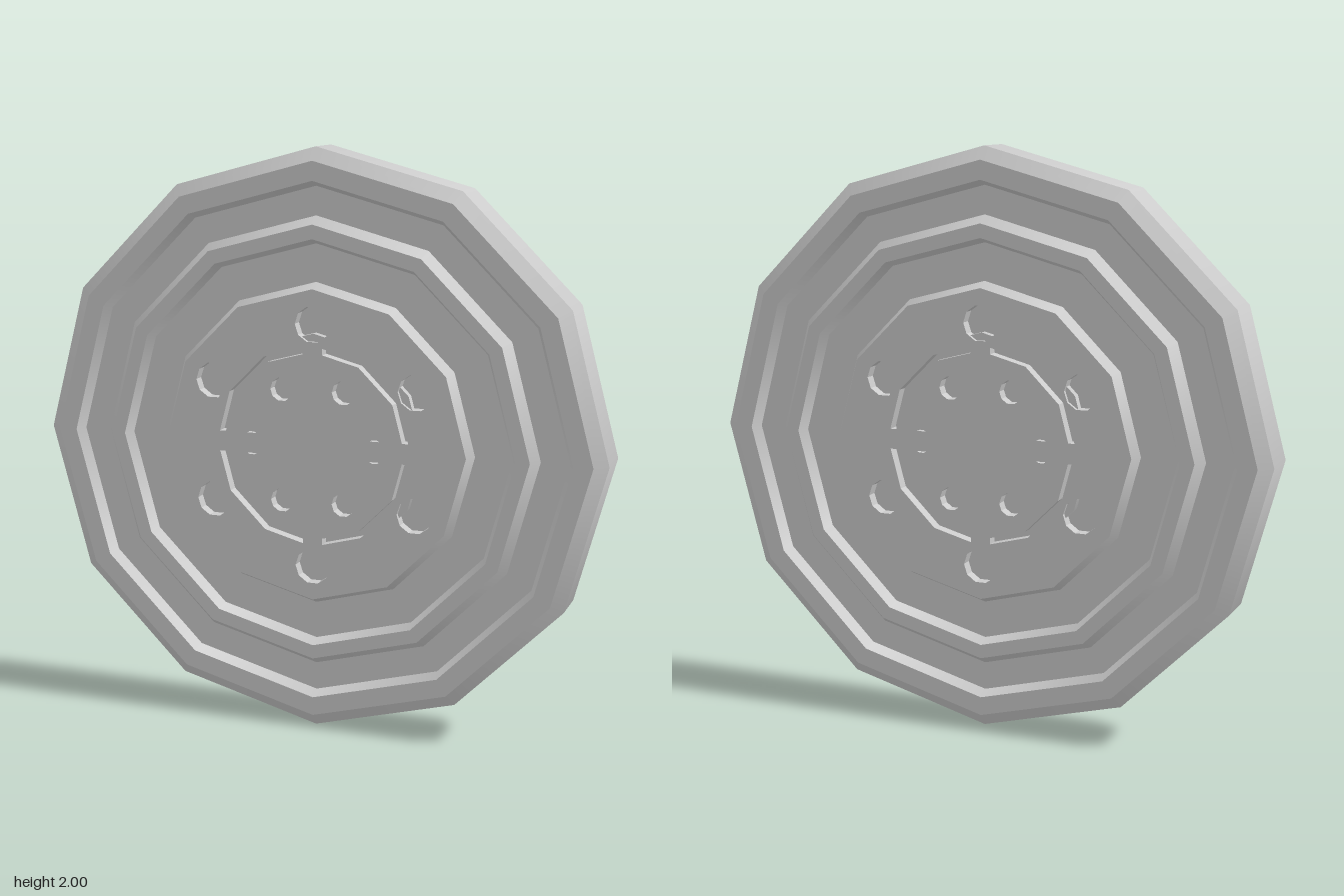
import * as THREE from 'three';
import { mergeGeometries } from 'three/addons/utils/BufferGeometryUtils.js';

const SIDES = 12, FACE = 0.11, FLOOR = 0.07;
const mat = new THREE.MeshStandardMaterial({ color: 0xcccccc });
const holeMat = new THREE.MeshStandardMaterial({ color: 0xcccccc, flatShading: true });

// Twelve-sided turned surface about z: smooth around, sharp between profile segments
function turned(name, profile) {
  const bands = [];
  for (let i = 0; i + 1 < profile.length; i++) {
    const pts = [profile[i], profile[i + 1]].map(([r, z]) => new THREE.Vector2(r, z));
    bands.push(new THREE.LatheGeometry(pts, SIDES).rotateX(Math.PI / 2));
  }
  const mesh = new THREE.Mesh(mergeGeometries(bands), mat);
  mesh.name = name;
  return mesh;
}

// Regular polygon path
function polygon(cx, cy, r, n, Type = THREE.Path) {
  const pts = [];
  for (let i = 0; i < n; i++) {
    const a = (i / n) * Math.PI * 2;
    pts.push(new THREE.Vector2(cx + r * Math.cos(a), cy + r * Math.sin(a)));
  }
  return new Type(pts);
}

// One quarter of the narrow ring groove, stopped short of both axes
function grooveQuarter(sx, sy) {
  const arc = (r) => [
    [r - 0.0094, 0.035], [r * 0.866, r / 2], [r / 2, r * 0.866], [0.035, r - 0.0094],
  ];
  const pts = [...arc(0.347), ...arc(0.325).reverse()];
  return new THREE.Path(pts.map(([x, y]) => new THREE.Vector2(x * sx, y * sy)));
}

// Hub plate with bolt holes, small holes, grooves and slivers beside the cross bar
function hubPlate() {
  const shape = polygon(0, 0, 0.535, SIDES, THREE.Shape);
  for (let i = 0; i < 6; i++) {
    const a = Math.PI / 6 + (i * Math.PI) / 3;
    shape.holes.push(polygon(0.417 * Math.cos(a), 0.417 * Math.sin(a), 0.062, 10));
  }
  for (const sx of [-1, 1]) for (const sy of [-1, 1]) {
    shape.holes.push(polygon(sx * 0.11, sy * 0.192, 0.041, 10));
    shape.holes.push(grooveQuarter(sx, sy));
    shape.holes.push(new THREE.Path([[0.203, 0.035], [0.237, 0.035], [0.229, 0.04], [0.211, 0.04]]
      .map(([x, y]) => new THREE.Vector2(x * sx, y * sy))));
  }
  const geo = new THREE.ExtrudeGeometry(shape, { depth: FACE - FLOOR, bevelEnabled: false });
  const mesh = new THREE.Mesh(geo.translate(0, 0, FLOOR), holeMat);
  mesh.name = 'hubPlate';
  return mesh;
}

// Everything on one face of the disc
function discFace(name) {
  const face = new THREE.Group();
  face.name = name;
  face.add(
    turned('rimFace', [[1, 0.075], [0.955, FACE], [0.89, FACE], [0.872, FLOOR]]),
    turned('outerRecess', [[0.872, FLOOR], [0.775, FLOOR]]),
    turned('middleRidge', [[0.775, FLOOR], [0.748, FACE], [0.7, FACE], [0.683, FLOOR]]),
    turned('innerRecess', [[0.683, FLOOR], [0, FLOOR]]),
    turned('hubBevel', [[0.555, FLOOR], [0.535, FACE]]),
    turned('hubCollar', [[0.385, FLOOR], [0.385, 0.097], [0.352, 0.097]]),
    hubPlate(),
  );
  return face;
}

export function createModel() {
  const model = new THREE.Group();
  model.name = 'weightDisc';
  const front = discFace('frontFace');
  const back = discFace('backFace');
  back.rotation.y = Math.PI;
  model.add(turned('rimEdge', [[1, -0.075], [1, 0.075]]), front, back);
  for (const part of model.children) part.position.y = 1;
  return model;
}
